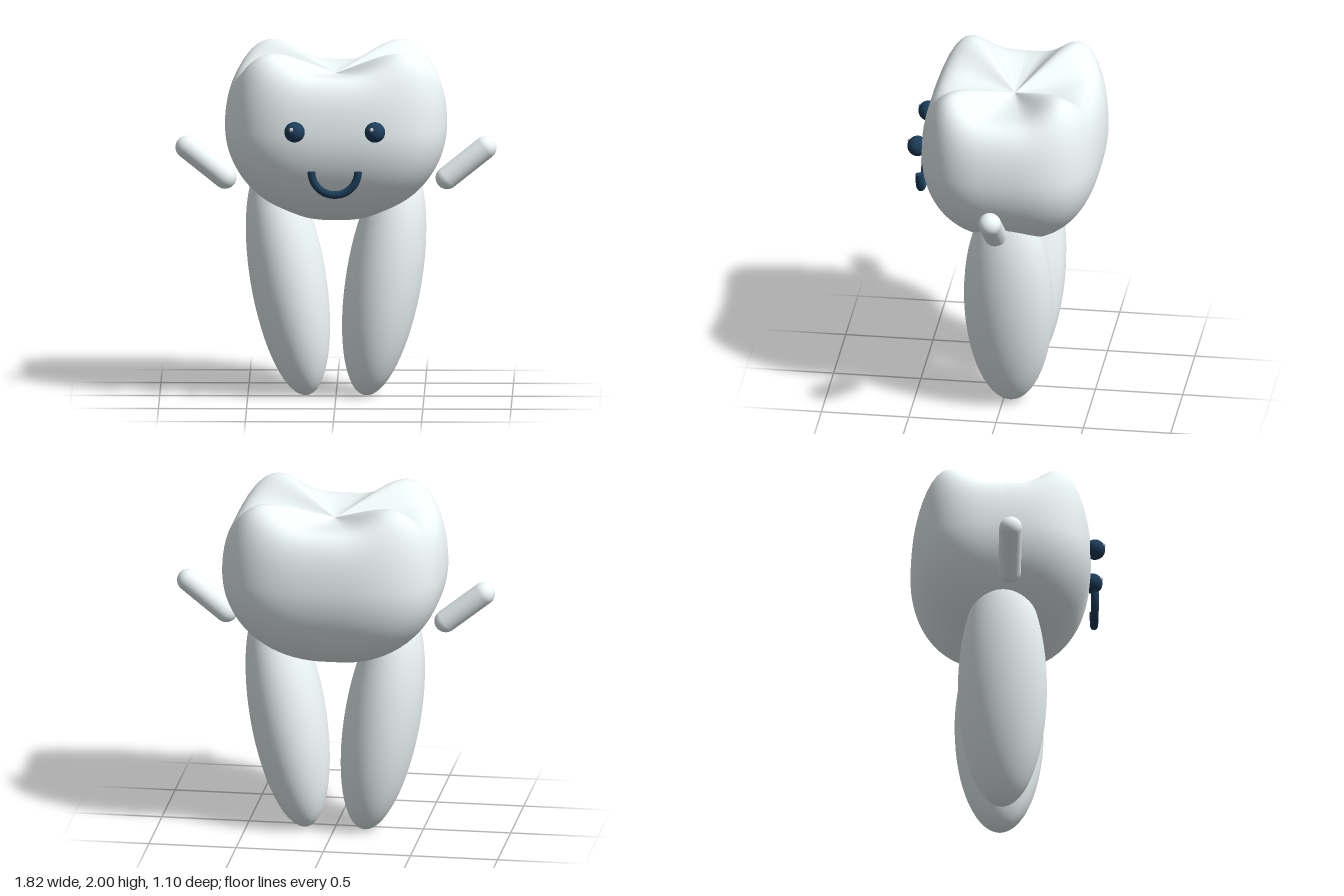
import * as THREE from 'three';

const pale = new THREE.MeshStandardMaterial({ color: 0xf0f9fa });
const navy = new THREE.MeshStandardMaterial({ color: 0x1c3d5a, side: THREE.DoubleSide });
const white = new THREE.MeshStandardMaterial({ color: 0xffffff });

const CENTRE_Z = -0.04;

function part(name, geometry, material, x, y, z) {
  const mesh = new THREE.Mesh(geometry, material);
  mesh.name = name;
  mesh.position.set(x, y, z);
  return mesh;
}

// Sphere reshaped to a rounded-square plan, with four cusps around a sunken centre
function crownGeometry() {
  const geometry = new THREE.SphereGeometry(1, 64, 48);
  const pos = geometry.attributes.position;
  const squarish = (v) => Math.sign(v) * Math.pow(Math.abs(v), 0.64);
  for (let i = 0; i < pos.count; i++) {
    const x = pos.getX(i), y = pos.getY(i), z = pos.getZ(i);
    const s = Math.min(1, Math.hypot(x, z));
    const angle = Math.atan2(z, x);
    let height = 0.55 * y;
    if (y > 0) {
      const cusp = 0.138 * Math.sin(Math.PI * s / 1.8) * Math.sin(2 * angle) ** 2;
      height = Math.sqrt(1 - s ** 8) * (0.29 + 0.07 * s * s + cusp);
    }
    pos.setXYZ(i, 0.63 * s * squarish(Math.cos(angle)), height, 0.51 * s * squarish(Math.sin(angle)));
  }
  geometry.computeVertexNormals();
  return geometry;
}

export function createModel() {
  const model = new THREE.Group();
  model.name = 'toothFigure';

  model.add(part('crown', crownGeometry(), pale, 0, 1.56, CENTRE_Z));

  const legGeometry = new THREE.SphereGeometry(1, 48, 32).scale(0.215, 0.688, 0.253);
  const armGeometry = new THREE.CapsuleGeometry(0.065, 0.277, 12, 32);
  const eyeGeometry = new THREE.SphereGeometry(0.058, 32, 20);
  const glintGeometry = new THREE.SphereGeometry(0.012, 16, 12);

  for (const [side, label] of [[1, 'left'], [-1, 'right']]) {
    // Root-shaped leg, leaning outward at the top
    const leg = part(label + 'Leg', legGeometry, pale, side * 0.273, 0.682, CENTRE_Z);
    leg.rotation.z = -side * 0.161;
    model.add(leg);

    // Raised arm
    const arm = part(label + 'Arm', armGeometry, pale, side * 0.738, 1.34, -0.012);
    arm.rotation.z = -side * Math.atan2(0.215, 0.172);
    model.add(arm);

    // Eye with a small glint, on the same side of both eyes
    model.add(part(label + 'Eye', eyeGeometry, navy, side * 0.228, 1.587, 0.487));
    model.add(part(label + 'EyeGlint', glintGeometry, white, side * 0.228 - 0.018, 1.607, 0.535));
  }

  // Smile: lower half ring with capped ends
  const smile = new THREE.Group();
  smile.name = 'smile';
  smile.position.set(0, 1.36, 0.491);
  const curve = part('smileCurve', new THREE.TorusGeometry(0.132, 0.022, 16, 40, Math.PI), navy, 0, 0, 0);
  curve.rotation.z = Math.PI;
  smile.add(curve);
  for (const side of [1, -1]) {
    const cap = part('smileEnd', new THREE.CircleGeometry(0.022, 16), navy, side * 0.132, 0, 0);
    cap.rotation.x = -Math.PI / 2;
    smile.add(cap);
  }
  model.add(smile);

  return model;
}
